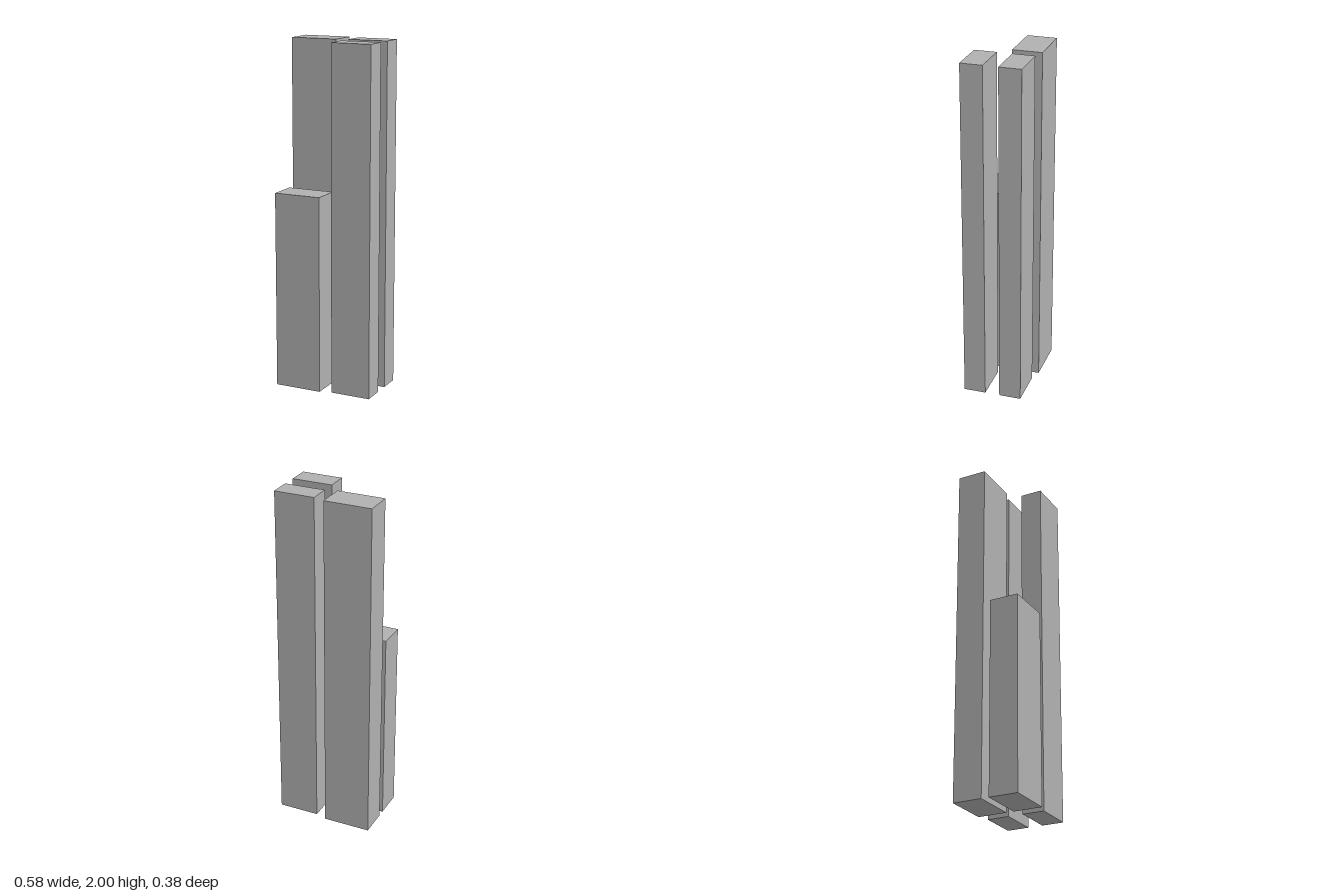
import * as THREE from 'three';

export function createModel() {
  const group = new THREE.Group();
  const grey = new THREE.MeshStandardMaterial({ color: 0xb0b0b0 });
  grey.name = 'grey';

  // Upright block given by its x range, z range and height, standing on the ground
  function tower(name, [x0, x1], [z0, z1], height) {
    const mesh = new THREE.Mesh(new THREE.BoxGeometry(x1 - x0, height, z1 - z0), grey);
    mesh.position.set((x0 + x1) / 2, height / 2, (z0 + z1) / 2);
    mesh.name = name;
    group.add(mesh);
  }

  const wide = [-0.29, -0.012];
  const narrow = [0.053, 0.29];

  // Wide pair: tall at the back, short at the front
  tower('wideBackTower', wide, [-0.192, -0.022], 2);
  tower('wideFrontTower', wide, [0.022, 0.192], 1.143);

  // Narrow pair, both full height
  tower('narrowBackTower', narrow, [-0.171, -0.043], 2);
  tower('narrowFrontTower', narrow, [0.043, 0.171], 2);

  return group;
}
